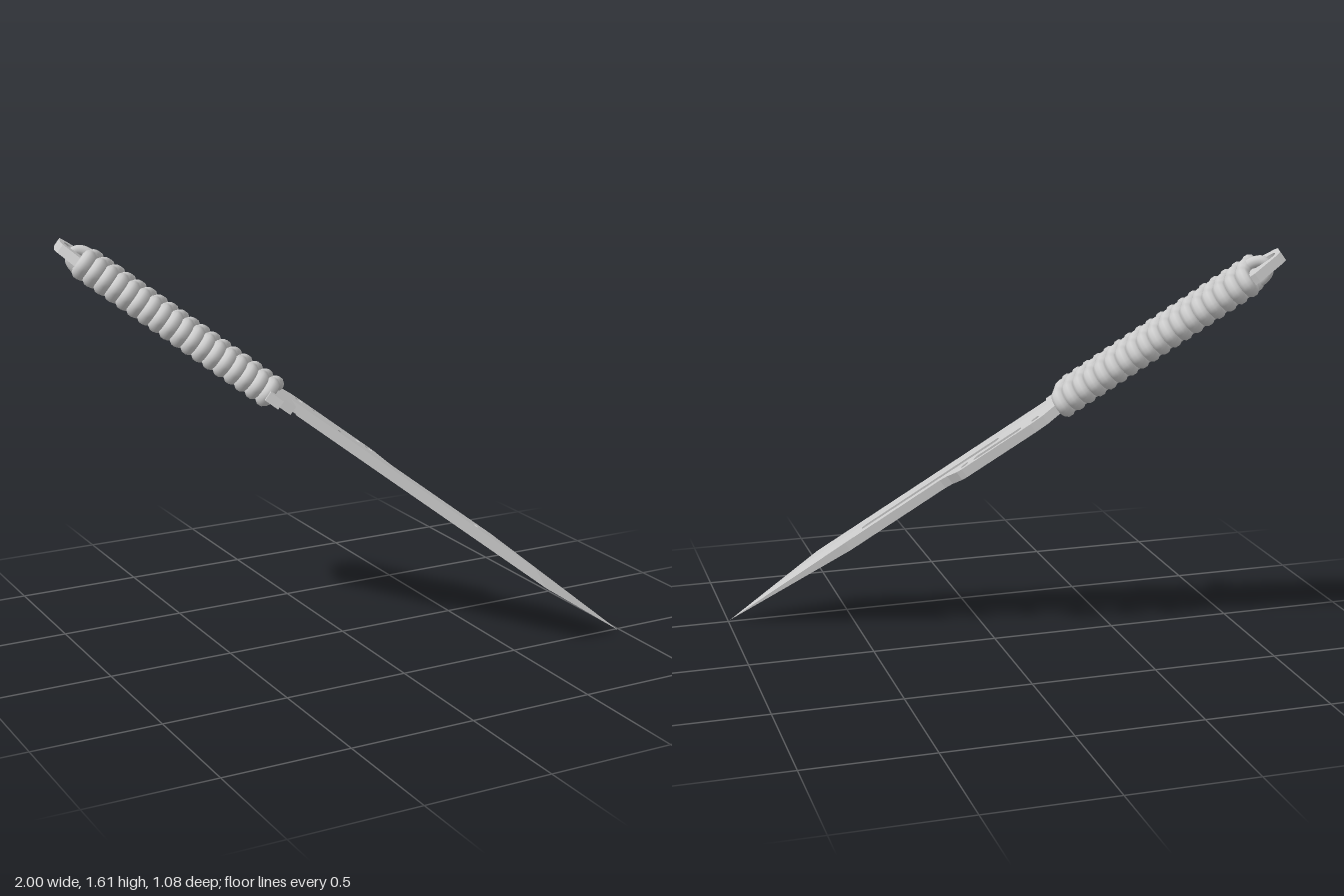
import * as THREE from 'three';

// Local frame: x runs toward the tip, y toward the spine, z is the thickness.
const HALF = 0.019;
const GRIND = [-0.03, 0.17], RIDGE = [1.17, 0.17], SPINE = [0.96, 0.27];
const HEEL = [0, 0], EDGE = [1.2, 0], TIP = [1.611, 0.206];

function slot(x0, x1, y, r) {
  const p = new THREE.Path();
  p.absarc(x1, y, r, -Math.PI / 2, Math.PI / 2, false);
  p.absarc(x0, y, r, Math.PI / 2, Math.PI * 1.5, false);
  p.closePath();
  return p;
}

// Flat plate: upper blade, guard and full-length tang
function plateGeometry() {
  const outline = [
    GRIND, RIDGE, SPINE, [0.479, 0.264], [0.44, 0.275], [0.385, 0.312], [0.36, 0.317],
    [0.026, 0.317], [-0.03, 0.308], [-0.08, 0.275], [-0.13, 0.26], [-1.0, 0.26],
    [-1.1, 0.2], [-1.112, 0.185], [-1.1, 0.095], [-1.085, 0.08], [-1.0, 0.04],
    [-0.13, 0.04], [-0.13, -0.015], [-0.07, -0.02], [-0.065, 0.056], [-0.01, 0.056],
  ];
  const shape = new THREE.Shape(outline.map(([x, y]) => new THREE.Vector2(x, y)));
  shape.holes.push(
    slot(0.217, 0.87, 0.208, 0.018),
    slot(0.095, 0.29, 0.28, 0.018),
    slot(0.01, 0.012, 0.276, 0.016),
    slot(0.352, 0.354, 0.278, 0.016),
    slot(-1.055, -1.02, 0.15, 0.033),
  );
  const g = new THREE.ExtrudeGeometry(shape, { depth: HALF * 2, bevelEnabled: false, curveSegments: 10 });
  return g.translate(0, 0, -HALF);
}

// Ground faces that thin the plate to the cutting edge and the point
function bevelGeometry() {
  const tris = [
    [[HEEL, 0], [EDGE, 0], [RIDGE, 1]],
    [[HEEL, 0], [RIDGE, 1], [GRIND, 1]],
    [[EDGE, 0], [TIP, 0], [RIDGE, 1]],
    [[RIDGE, 1], [TIP, 0], [SPINE, 1]],
  ];
  const pos = [];
  const put = ([p, k], side) => pos.push(p[0], p[1], k * side * HALF);
  for (const t of tris) {
    t.forEach((c) => put(c, 1));
    [...t].reverse().forEach((c) => put(c, -1));
  }
  put([SPINE, 1], 1); put([TIP, 0], 1); put([SPINE, 1], -1);
  const g = new THREE.BufferGeometry();
  g.setAttribute('position', new THREE.Float32BufferAttribute(pos, 3));
  g.computeVertexNormals();
  return g;
}

// One turn of cord, stepping half a pitch across each face
function turnGeometry(pitch) {
  const h = pitch / 4;
  const face = [[-0.093, 0.029, -h], [-0.035, 0.033, -h], [0, 0.038, 0], [0.035, 0.033, h], [0.093, 0.029, h]];
  const loop = [
    [-0.113, 0, -h], ...face, [0.113, 0, h],
    ...[...face].reverse().map(([y, z, x]) => [y, -z, x]),
  ].map(([y, z, x]) => new THREE.Vector3(x, y, z));
  return new THREE.TubeGeometry(new THREE.CatmullRomCurve3(loop, true), 64, 0.027, 10, true);
}

export function createModel() {
  const material = new THREE.MeshStandardMaterial({ color: 0xcccccc });
  const knife = new THREE.Group();
  knife.name = 'knife';
  const add = (name, geometry, parent = knife) => {
    const mesh = new THREE.Mesh(geometry, material);
    mesh.name = name;
    parent.add(mesh);
    return mesh;
  };

  add('bladeAndTang', plateGeometry());
  add('bladeBevels', bevelGeometry());

  // Cord wrapping with a raised plait down the middle of both faces
  const wrap = new THREE.Group();
  wrap.name = 'cordWrap';
  knife.add(wrap);
  const turns = 18, first = -0.118, last = -0.965;
  const pitch = (first - last) / (turns - 1);
  const turn = turnGeometry(pitch);
  const knot = new THREE.SphereGeometry(1, 16, 10);
  for (let i = 0; i < turns; i++) {
    const x = first - i * pitch;
    add('cordTurn', turn, wrap).position.set(x, 0.15, 0);
    for (const side of [-1, 1]) {
      const k = add('cordCrossing', knot, wrap);
      k.position.set(x, 0.15, side * 0.04);
      k.scale.set(0.026, 0.045, 0.028);
      k.rotation.z = -0.5;
    }
  }

  // Cord end looped through the lanyard hole
  const loop = [[-0.95, 0.035], [-1.0, 0.036], [-1.03, 0.022], [-1.037, 0], [-1.03, -0.022], [-1.0, -0.036], [-0.95, -0.035]];
  const path = new THREE.CatmullRomCurve3(loop.map(([x, z]) => new THREE.Vector3(x, 0.15, z)));
  add('lanyardLoop', new THREE.TubeGeometry(path, 32, 0.022, 10));

  // Tilt the knife into its resting pose
  const along = new THREE.Vector3(0.717, -0.584, 0.38).normalize();
  const across = new THREE.Vector3(0.416, -0.074, -0.907);
  const normal = new THREE.Vector3().crossVectors(along, across).normalize();
  across.crossVectors(normal, along);
  knife.quaternion.setFromRotationMatrix(new THREE.Matrix4().makeBasis(along, across, normal));
  knife.position.set(-0.25, 0.96, 0.09);

  const model = new THREE.Group();
  model.name = 'wrappedKnife';
  model.add(knife);
  return model;
}
